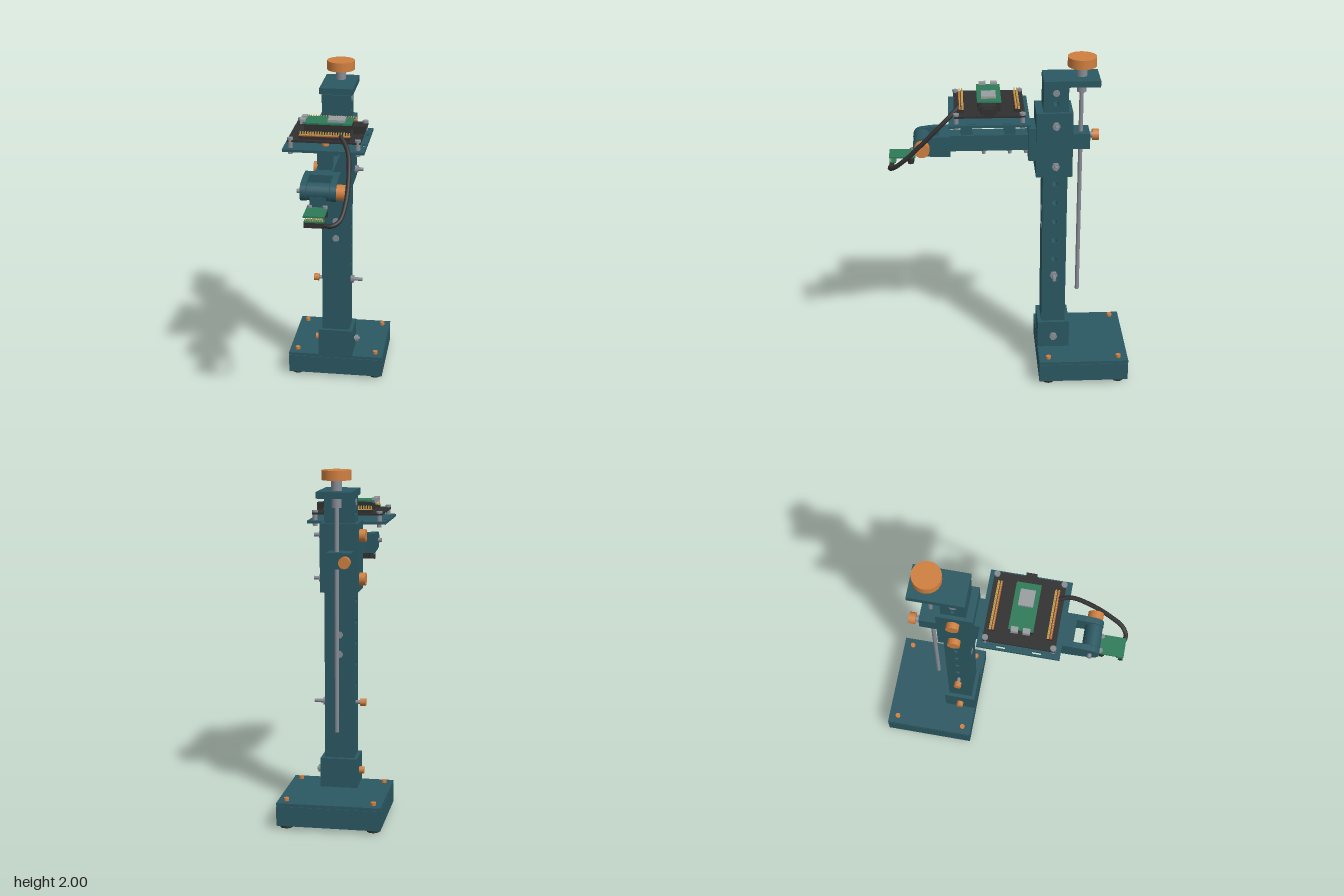
import * as THREE from 'three';

const mat = (name, color) => Object.assign(new THREE.MeshStandardMaterial({ color }), { name });

export function createModel() {
  const model = new THREE.Group();
  const teal = mat('teal plastic', 0x2b5862);
  const orange = mat('orange plastic', 0xcf7f3f);
  const steel = mat('steel', 0x878c94);
  const dark = mat('black plastic', 0x303030);
  const green = mat('green board', 0x2d7a58);
  const gold = mat('gold pins', 0xc9a24c);
  const red = mat('red strip', 0xb8502f);
  const silver = mat('silver chip', 0x9a9da1);

  const add = (name, geo, m) => {
    const mesh = new THREE.Mesh(geo, m);
    mesh.name = name;
    model.add(mesh);
    return mesh;
  };
  // box given by its lower and upper limits on each axis
  const box = (name, m, [x0, x1], [y0, y1], [z0, z1]) =>
    add(name, new THREE.BoxGeometry(x1 - x0, y1 - y0, z1 - z0), m)
      .position.set((x0 + x1) / 2, (y0 + y1) / 2, (z0 + z1) / 2);
  // cylinder along an axis from a to b; p and q are the other two coordinates in x, y, z order
  const rod = (name, m, axis, r, a, b, p, q, sides = 24) => {
    const mesh = add(name, new THREE.CylinderGeometry(r, r, b - a, sides), m);
    const c = (a + b) / 2;
    if (axis === 'x') { mesh.rotation.z = Math.PI / 2; mesh.position.set(c, p, q); }
    if (axis === 'y') mesh.position.set(p, c, q);
    if (axis === 'z') { mesh.rotation.x = Math.PI / 2; mesh.position.set(p, q, c); }
  };
  const rect = (x0, x1, y0, y1) => new THREE.Shape([
    new THREE.Vector2(x0, y0), new THREE.Vector2(x1, y0),
    new THREE.Vector2(x1, y1), new THREE.Vector2(x0, y1)]);
  // side profile drawn in (z, y), extruded across x
  const sideExtrude = (name, m, shape, x0, x1) => {
    const geo = new THREE.ExtrudeGeometry(shape, { depth: x1 - x0, bevelEnabled: false, curveSegments: 12 });
    geo.rotateY(-Math.PI / 2).translate(x1, 0, 0);
    add(name, geo, m);
  };

  // base with lid, feet and screws
  box('baseBody', teal, [-0.296, 0.296], [0.02, 0.133], [-0.708, -0.168]);
  box('baseSeam', teal, [-0.292, 0.292], [0.133, 0.138], [-0.704, -0.172]);
  box('baseLid', teal, [-0.296, 0.296], [0.138, 0.153], [-0.708, -0.168]);
  for (const x of [-0.248, 0.248]) for (const z of [-0.651, -0.225]) {
    rod('foot', dark, 'y', 0.036, 0, 0.02, x, z);
    rod('baseScrew', orange, 'y', 0.015, 0.153, 0.17, x, z);
  }

  // column with through holes
  const colZ = -0.262;
  box('columnCollar', teal, [-0.107, 0.107], [0.153, 0.325], [-0.36, -0.168]);
  const column = rect(-0.334, -0.19, 0.3, 1.845);
  for (const y of [0.75, 0.875, 1.0, 1.122, 1.245, 1.745])
    column.holes.push(new THREE.Path().absarc(colZ, y, 0.016, 0, Math.PI * 2, true));
  sideExtrude('column', teal, column, -0.085, 0.085);
  for (const y of [0.94, 1.053]) rod('columnPin', steel, 'z', 0.021, -0.337, -0.187, 0, y);
  rod('topPin', steel, 'x', 0.02, -0.088, 0.088, 1.81, colZ);

  // cross bolts with orange heads
  const crossBolt = (y, headR, headX0, headX1, side, end) => {
    rod('boltHead', orange, 'x', headR, headX0, headX1, y, colZ);
    rod('boltShaft', steel, 'x', 0.011, headX1, end, y, colZ, 16);
    rod('boltNut', steel, 'x', 0.023, side, side + 0.02, y, colZ, 6);
  };
  crossBolt(0.235, 0.021, -0.135, -0.107, 0.115, 0.143);
  crossBolt(0.645, 0.022, -0.145, -0.113, 0.085, 0.157);
  crossBolt(1.37, 0.037, -0.143, -0.107, 0.107, 0.157);
  crossBolt(1.62, 0.037, -0.143, -0.107, 0.107, 0.157);

  // top plate, lead screw and hand knob
  const screwZ = -0.413;
  box('topPlate', teal, [-0.1, 0.1], [1.848, 1.885], [-0.513, -0.19]);
  rod('leadScrew', steel, 'y', 0.0125, 0.5, 1.95, 0, screwZ, 16);
  rod('screwNut', steel, 'y', 0.028, 1.79, 1.848, 0, screwZ);
  rod('knobStem', steel, 'y', 0.03, 1.885, 1.945, 0, screwZ);
  rod('handKnob', orange, 'y', 0.083, 1.945, 2, 0, screwZ, 48);

  // sliding carriage with the nut block
  box('carriage', teal, [-0.107, 0.107], [1.3, 1.695], [-0.36, -0.148]);
  box('nutBlock', teal, [-0.088, 0.05], [1.45, 1.543], [-0.465, -0.36]);
  rod('lockShaft', steel, 'z', 0.018, -0.49, -0.465, -0.06, 1.495);
  rod('lockKnob', orange, 'z', 0.033, -0.525, -0.487, -0.06, 1.495);

  // arm
  box('armMount', teal, [-0.085, 0.085], [1.395, 1.595], [-0.148, -0.105]);
  box('arm', teal, [-0.05, 0.05], [1.45, 1.545], [-0.105, 0.36]);
  for (const z of [-0.095, 0, 0.15]) {
    rod('armBoltHead', steel, 'y', 0.02, 1.43, 1.45, 0, z, 6);
    rod('armBoltTip', steel, 'y', 0.01, 1.412, 1.43, 0, z, 12);
  }

  // hinge fork, knuckle and knob
  const hy = 1.497, hz = 0.508;
  box('forkBridge', teal, [-0.1, 0.1], [1.436, 1.558], [0.345, 0.408]);
  const prong = new THREE.Shape();
  prong.moveTo(0.408, 1.436);
  prong.lineTo(0.46, 1.44);
  prong.lineTo(hz, hy - 0.052);
  prong.absarc(hz, hy, 0.052, -Math.PI / 2, Math.PI / 2, false);
  prong.lineTo(0.46, 1.556);
  prong.lineTo(0.408, 1.558);
  for (const x of [-0.1, 0.066]) sideExtrude('forkProng', teal, prong, x, x + 0.034);
  rod('hingeKnuckle', teal, 'x', 0.05, -0.063, 0.063, hy, hz);
  rod('hingeBolt', steel, 'x', 0.012, -0.122, 0.1, hy, hz, 16);
  rod('hingeKnob', orange, 'x', 0.044, 0.1, 0.148, hy, hz);
  box('cameraBracket', teal, [-0.045, 0.045], [1.425, 1.48], [0.525, 0.56]);

  // camera board
  box('cameraBoard', green, [-0.06, 0.057], [1.414, 1.424], [0.548, 0.7]);
  for (const x of [-0.043, 0.043]) {
    rod('cameraScrew', steel, 'y', 0.014, 1.424, 1.436, x, 0.565, 12);
    rod('cameraSpacer', dark, 'y', 0.018, 1.378, 1.414, x, 0.575, 12);
  }
  box('cameraBody', dark, [-0.035, 0.035], [1.385, 1.414], [0.555, 0.6]);
  box('cameraSocket', dark, [-0.055, 0.055], [1.355, 1.385], [0.672, 0.698]);
  box('cameraSocketBack', green, [-0.055, 0.055], [1.385, 1.393], [0.66, 0.698]);
  for (let i = 0; i < 8; i++) {
    const x = -0.046 + i * 0.013;
    box('cameraPin', gold, [x - 0.003, x + 0.003], [1.393, 1.414], [0.688, 0.694]);
  }

  // posts and slotted tray
  for (const z of [0, 0.25]) {
    box('trayPost', teal, [-0.04, 0.04], [1.545, 1.665], [z - 0.033, z + 0.033]);
    rod('trayScrew', orange, 'y', 0.02, 1.68, 1.692, 0, z);
  }
  const tray = rect(-0.231, 0.231, -0.353, 0.108); // second coordinate is -z
  for (const x of [-0.213, 0.213]) for (const z of [0.025, 0.224]) {
    const pts = rect(x - 0.007, x + 0.007, -z - 0.025, -z + 0.025).getPoints();
    tray.holes.push(new THREE.Path(pts.reverse()));
  }
  const trayGeo = new THREE.ExtrudeGeometry(tray, { depth: 0.015, bevelEnabled: false });
  add('tray', trayGeo.rotateX(-Math.PI / 2).translate(0, 1.665, 0), teal);

  // carrier board on standoffs
  box('carrierBoard', dark, [-0.206, 0.206], [1.714, 1.725], [-0.08, 0.322]);
  for (const x of [-0.19, 0.19]) for (const z of [-0.065, 0.31]) {
    rod('standoff', steel, 'y', 0.014, 1.645, 1.725, x, z, 12);
    rod('standoffScrew', steel, 'y', 0.017, 1.725, 1.738, x, z, 12);
  }

  // pin headers, one gold and one red row each
  for (const z of [-0.038, 0.281]) {
    box('pinHeader', dark, [-0.145, 0.143], [1.725, 1.742], [z - 0.018, z + 0.018]);
    box('redStrip', red, [-0.145, 0.143], [1.742, 1.746], [z, z + 0.013]);
    box('goldStrip', gold, [-0.145, 0.143], [1.742, 1.746], [z - 0.015, z - 0.003]);
    for (let i = 0; i < 20; i++) for (const dz of [-0.009, 0.007]) {
      const x = -0.138 + i * 0.0145;
      box('headerPin', gold, [x - 0.003, x + 0.003], [1.742, 1.765], [z + dz - 0.003, z + dz + 0.003]);
    }
  }

  // small computer board with chip and ports
  box('computerBoard', green, [-0.14, 0.14], [1.78, 1.789], [0.053, 0.19]);
  box('chip', silver, [0, 0.097], [1.789, 1.803], [0.082, 0.165]);
  for (const z of [0.088, 0.154])
    box('port', silver, [-0.157, -0.127], [1.775, 1.803], [z - 0.02, z + 0.02]);
  for (const z of [0.068, 0.176])
    box('computerHeader', dark, [-0.13, 0.13], [1.725, 1.78], [z - 0.011, z + 0.011]);
  box('powerSocket', dark, [0.145, 0.178], [1.725, 1.772], [0.08, 0.17]);
  box('powerSocketFront', dark, [0.178, 0.21], [1.725, 1.768], [0.095, 0.155]);

  // cable from header to camera
  const path = new THREE.CatmullRomCurve3([
    [0.09, 1.75, 0.285], [0.14, 1.685, 0.36], [0.16, 1.58, 0.47], [0.158, 1.46, 0.59],
    [0.135, 1.39, 0.67], [0.095, 1.37, 0.695], [0.05, 1.37, 0.688],
  ].map(p => new THREE.Vector3(...p)));
  add('cable', new THREE.TubeGeometry(path, 48, 0.013, 10), dark);

  return model;
}
